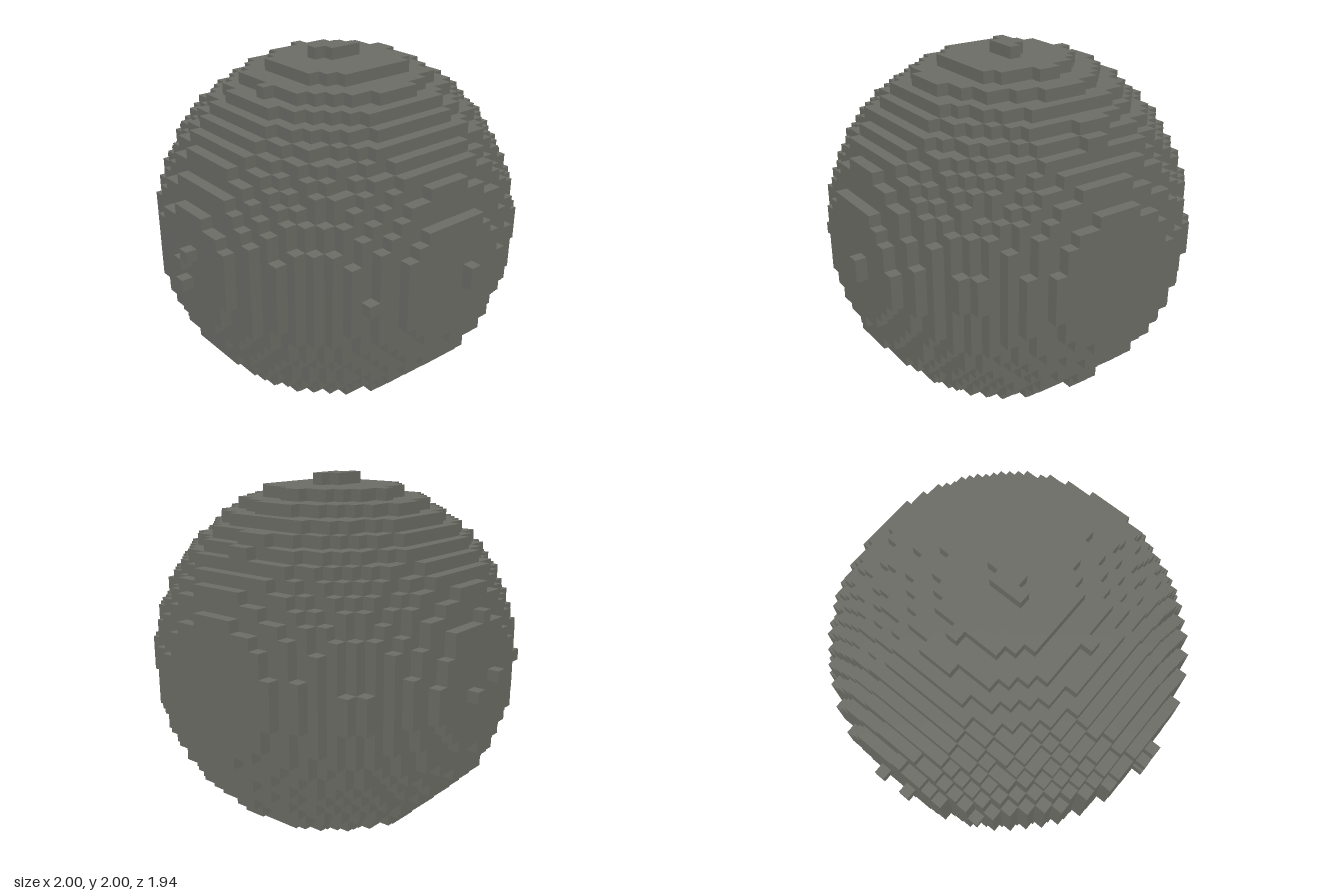
import * as THREE from 'three';

const V = 0.0625;              // edge of one small cube
const DZ = -0.03125;           // middle of the ball along z
const stone = new THREE.MeshStandardMaterial({ color: 0x6b6c65 });
stone.name = 'darkStone';

// Seeded noise in -1..1 that roughens the ball a little
function noise(i, j, k) {
  const s = Math.sin(i * 12.99 + j * 78.23 + k * 37.72) * 43758.55;
  return (s - Math.floor(s)) * 2 - 1;
}

// Single cubes standing proud of the ball, as cell indices
const bumps = new Set();
const add = (i, j, k) => bumps.add(`${i},${j},${k}`);
[[-1, -2], [-1, 0], [0, 1]].forEach(([i, j]) => add(i, j, 15));      // front
[-1, 0].forEach((j) => add(15, j, -2));                              // left
add(-16, 0, 1);                                                      // right
add(-16, -1, -2);
for (let k = -1; k <= 1; k++) { add(-1, 15, k); add(0, 15, k - 1); } // top
for (let k = -3; k <= 1; k++) {                                      // bottom
  add(-1, -16, k);
  add(0, -16, k);
  if (k > -3 && k < 1) { add(-2, -16, k); add(1, -16, k); }
}

function solid(i, j, k) {
  if (bumps.has(`${i},${j},${k}`)) return true;
  if (i < -15 || i > 14 || j < -15 || j > 14 || k < -15 || k > 14) return false;
  const d2 = (i + 0.5) ** 2 + (j + 0.5) ** 2 + (k + 0.65) ** 2;
  return d2 <= 241 + 1.5 * noise(i, j, k);
}

// Outer faces of all cubes, with one flat normal per face
function cubeBallGeometry() {
  const pos = [], nor = [], index = [];
  for (let i = -16; i < 16; i++) for (let j = -16; j < 16; j++) for (let k = -16; k < 16; k++) {
    if (!solid(i, j, k)) continue;
    for (let axis = 0; axis < 3; axis++) for (const dir of [1, -1]) {
      const n = [0, 0, 0];
      n[axis] = dir;
      if (solid(i + n[0], j + n[1], k + n[2])) continue;
      const u = (axis + 1) % 3, w = (axis + 2) % 3, start = pos.length / 3;
      for (const [a, b] of [[0, 0], [1, 0], [1, 1], [0, 1]]) {
        const c = [i, j, k];
        if (dir > 0) c[axis] += 1;
        c[u] += a;
        c[w] += b;
        pos.push(c[0] * V, 1 + c[1] * V, DZ + c[2] * V);
        nor.push(...n);
      }
      const q = dir > 0 ? [0, 1, 2, 0, 2, 3] : [0, 2, 1, 0, 3, 2];
      index.push(...q.map((x) => start + x));
    }
  }
  const g = new THREE.BufferGeometry();
  g.setAttribute('position', new THREE.Float32BufferAttribute(pos, 3));
  g.setAttribute('normal', new THREE.Float32BufferAttribute(nor, 3));
  g.setIndex(index);
  return g;
}

export function createModel() {
  const group = new THREE.Group();
  group.name = 'cubeBall';
  const ball = new THREE.Mesh(cubeBallGeometry(), stone);
  ball.name = 'ball';
  group.add(ball);
  return group;
}
